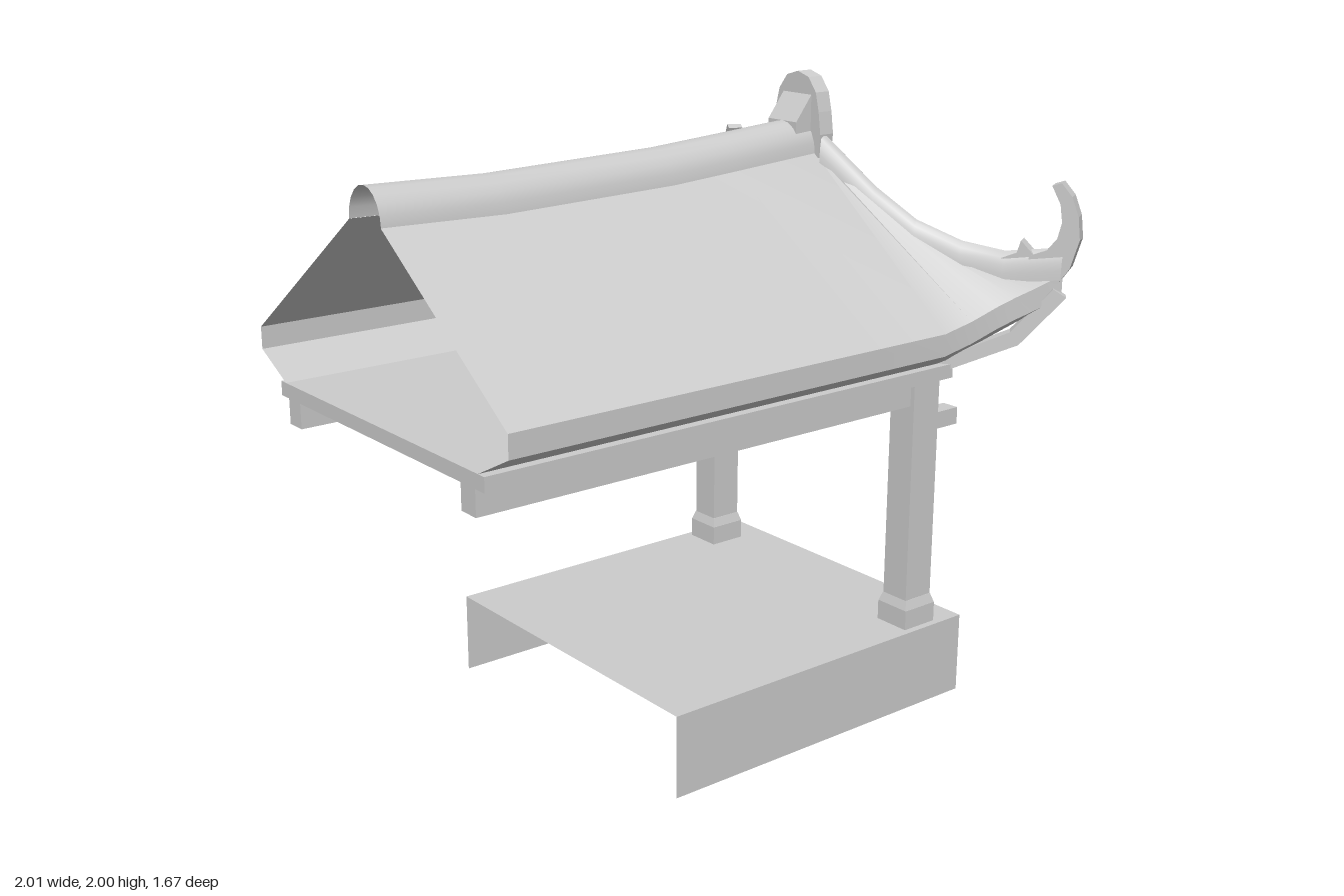
import * as THREE from 'three';
import { toCreasedNormals } from 'three/addons/utils/BufferGeometryUtils.js';

const mat = new THREE.MeshStandardMaterial({ color: 0xcccccc, side: THREE.DoubleSide });

function add(parent, name, geo, x = 0, y = 0, z = 0) {
  const mesh = new THREE.Mesh(geo, mat);
  mesh.name = name;
  mesh.position.set(x, y, z);
  parent.add(mesh);
  return mesh;
}

// Box given by its lower and upper limits
function block(parent, name, [x0, y0, z0], [x1, y1, z1]) {
  return add(parent, name, new THREE.BoxGeometry(x1 - x0, y1 - y0, z1 - z0),
    (x0 + x1) / 2, (y0 + y1) / 2, (z0 + z1) / 2);
}

// Surface spanned between rows of points
function surface(rows, crease = 0.6) {
  const n = rows[0].length, idx = [];
  for (let i = 0; i + 1 < rows.length; i++) {
    for (let j = 0; j + 1 < n; j++) {
      const a = i * n + j, b = a + n;
      idx.push(a, b, b + 1, a, b + 1, a + 1);
    }
  }
  const geo = new THREE.BufferGeometry();
  geo.setAttribute('position', new THREE.Float32BufferAttribute(rows.flat(2), 3));
  geo.setIndex(idx);
  return toCreasedNormals(geo, crease);
}

// Half-round cap swept along a path; (dx, dz) is its heading in plan
function ridgeCap(path, dx, dz, width, height) {
  return surface(path.map(([x, y, z]) => {
    const row = [];
    for (let k = 0; k <= 10; k++) {
      const a = Math.PI * k / 10, s = Math.cos(a) * width;
      row.push([x - dz * s, y + Math.sin(a) * height, z + dx * s]);
    }
    return row;
  }));
}

const outline = (pts) => new THREE.Shape(pts.map(([a, b]) => new THREE.Vector2(a, b)));

// Slab drawn in (z, y), standing on the plan line x = x0 + k * z
function diagonalSlab(pts, x0, k, width) {
  const geo = new THREE.ExtrudeGeometry(outline(pts), { depth: width, bevelEnabled: false });
  geo.translate(0, 0, -width / 2);
  const p = geo.attributes.position, len = Math.hypot(1, k);
  for (let i = 0; i < p.count; i++) {
    const a = p.getX(i), d = p.getZ(i) / len;
    p.setXYZ(i, x0 + k * a - d, p.getY(i), a + k * d);
  }
  geo.computeVertexNormals();
  return geo;
}

// Lines that define the roof
const ridgeLine = [[-1, 1.705], [-0.6, 1.695], [0, 1.71], [0.25, 1.727], [0.57, 1.75]];
const hip = [[0.59, 1.73, 0.1], [0.68, 1.57, 0.25], [0.745, 1.475, 0.37],
  [0.815, 1.42, 0.5], [0.88, 1.4, 0.62], [0.965, 1.425, 0.78]];
const sideEave = [...ridgeLine.map(([x]) => [x, 1.28, 0.675]), [0.67, 1.305, 0.687], [0.76, 1.34, 0.705],
  [0.82, 1.365, 0.725], [0.87, 1.385, 0.745], [0.92, 1.405, 0.762], hip[5]];
const endEave = [[0.86, 1.28, 0], [0.86, 1.28, 0.28], [0.875, 1.31, 0.42], [0.89, 1.345, 0.54],
  [0.92, 1.385, 0.66], [0.942, 1.405, 0.72], hip[5]];

// Roof slope with its fascia and soffit
function roofSlope(parent, name, top, eave, inner) {
  const lower = eave.map(([x, y, z]) => [x, y - 0.07, z]);
  add(parent, name + 'Slope', surface([top, eave]));
  add(parent, name + 'Fascia', surface([eave, lower]));
  add(parent, name + 'Soffit', surface([lower, lower.map(inner)]));
}

function buildSide() {
  const side = new THREE.Group();

  // Post with its foot and projecting peg
  block(side, 'post', [0.6, 0.33, 0.43], [0.71, 1.09, 0.53]);
  block(side, 'postFoot', [0.59, 0.265, 0.418], [0.72, 0.33, 0.542]);
  const taper = new THREE.CylinderGeometry(0.055 * Math.SQRT2, 0.065 * Math.SQRT2, 0.03, 4, 1);
  taper.rotateY(Math.PI / 4).scale(1, 1, 0.94);
  add(side, 'postFootTaper', toCreasedNormals(taper, 0.3), 0.655, 0.345, 0.48);
  block(side, 'peg', [0.71, 0.91, 0.45], [0.82, 0.965, 0.51]);
  block(side, 'sideBeam', [-1, 1.01, 0.445], [0.6, 1.09, 0.515]);

  // Long slope and half of the hipped end
  const sideTop = [...ridgeLine.map(([x, y]) => [x, y, 0.085]), ...hip];
  roofSlope(side, 'long', sideTop, sideEave, ([x]) => [Math.min(x, 0.72), 1.135, 0.53]);
  const endTop = [[0.59, 1.73, 0], ...hip].reverse();
  roofSlope(side, 'end', endTop, [...endEave].reverse(), ([, , z]) => [0.72, 1.135, Math.min(z, 0.53)]);

  // Hip ridge, spike and upturned horn
  const hipPath = hip.map(([x, y, z]) => [x, y - 0.01, z]);
  add(side, 'hipRidge', ridgeCap(hipPath, 0.48, 0.877, 0.035, 0.095));
  add(side, 'hipSpike', diagonalSlab([[0.58, 1.45], [0.7, 1.45], [0.7, 1.485], [0.665, 1.525],
    [0.655, 1.485]].reverse().map(([a, b]) => [a, b]), 0.546, 0.54, 0.045));
  add(side, 'horn', diagonalSlab([[0.68, 1.41], [0.77, 1.4], [0.8, 1.45], [0.822, 1.54], [0.815, 1.61],
    [0.795, 1.67], [0.765, 1.71], [0.74, 1.7], [0.765, 1.645], [0.772, 1.59], [0.762, 1.54],
    [0.735, 1.5], [0.69, 1.48]], 0.546, 0.54, 0.05));

  // Bent rib under the corner
  add(side, 'cornerRib', diagonalSlab([[0.5, 1.1], [0.52, 1.105], [0.695, 1.205], [0.795, 1.36],
    [0.765, 1.385], [0.675, 1.245], [0.5, 1.14]], 0.245, 0.91, 0.045));
  return side;
}

export function createModel() {
  const model = new THREE.Group();
  model.name = 'pavilion';

  // Plinth, open below and at the cut end
  const plan = [[-0.37, 0.565], [0.82, 0.565], [0.82, -0.565], [-0.37, -0.565]];
  const ring = (y) => plan.map(([x, z]) => [x, y, z]);
  add(model, 'plinthWalls', surface([ring(0.265), ring(0)]));
  const floor = new THREE.PlaneGeometry(1.19, 1.13).rotateX(-Math.PI / 2);
  add(model, 'plinthFloor', floor, 0.225, 0.265, 0);

  // Ceiling plate and end beam
  block(model, 'ceilingPlate', [-1, 1.09, -0.56], [0.735, 1.135, 0.56]);
  block(model, 'endBeam', [0.62, 1.01, -0.43], [0.69, 1.09, 0.43]);

  // Both mirrored sides
  for (const s of [1, -1]) {
    const side = buildSide();
    side.name = s > 0 ? 'frontSide' : 'backSide';
    side.scale.z = s;
    model.add(side);
  }

  // Main ridge
  add(model, 'mainRidge', ridgeCap(ridgeLine.map(([x, y]) => [x, y, 0]), 1, 0, 0.087, 0.105));

  // Rounded ridge end plate and the wedge behind it
  const half = [[0.1, 1.71], [0.11, 1.81], [0.1, 1.88], [0.085, 1.94], [0.05, 1.985]];
  const plate = outline([...half, [0, 2], ...half.map(([a, b]) => [-a, b]).reverse()]);
  const plateGeo = new THREE.ExtrudeGeometry(plate, { depth: 0.055, bevelEnabled: false });
  add(model, 'ridgeEndPlate', plateGeo.rotateY(Math.PI / 2), 0.567, 0, 0);
  const wedge = outline([[0.505, 1.78], [0.57, 1.78], [0.57, 1.935], [0.505, 1.85]]);
  add(model, 'ridgeEndWedge', new THREE.ExtrudeGeometry(wedge, { depth: 0.13, bevelEnabled: false }), 0, 0, -0.065);
  return model;
}
